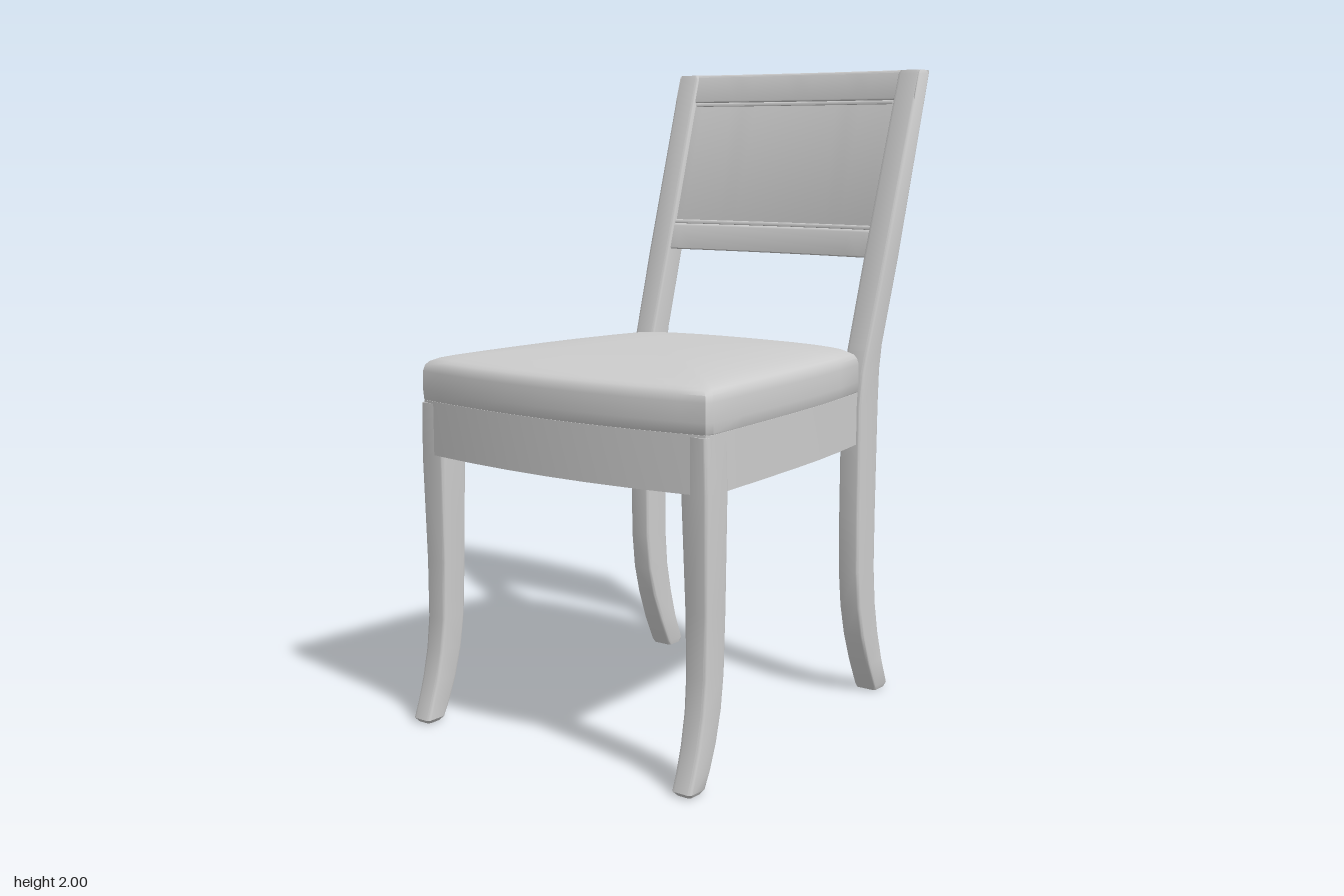
import * as THREE from 'three';
import { mergeVertices, toCreasedNormals } from 'three/addons/utils/BufferGeometryUtils.js';

const paintedWood = new THREE.MeshStandardMaterial({ color: 0xcccccc });
paintedWood.name = 'light grey';

// Closed solid through a list of equal-length rings of [x, y, z], capped with fans
function loft(rings, crease = 0.6) {
  const n = rings[0].length, pos = rings.flat(2), idx = [];
  for (let r = 0; r < rings.length - 1; r++) {
    for (let i = 0; i < n; i++) {
      const a = r * n + i, b = r * n + (i + 1) % n;
      idx.push(a, b, a + n, b, b + n, a + n);
    }
  }
  [0, rings.length - 1].forEach((r, end) => {
    const c = pos.length / 3;
    for (let k = 0; k < 3; k++) pos.push(rings[r].reduce((s, p) => s + p[k], 0) / n);
    for (let i = 0; i < n; i++) {
      const a = r * n + i, b = r * n + (i + 1) % n;
      if (end) idx.push(a, b, c); else idx.push(b, a, c);
    }
  });
  // Turn the faces outward if the enclosed volume is negative
  const v = i => new THREE.Vector3().fromArray(pos, i * 3);
  let volume = 0;
  for (let i = 0; i < idx.length; i += 3) volume += v(idx[i]).dot(v(idx[i + 1]).cross(v(idx[i + 2])));
  if (volume < 0) idx.reverse();
  const g = new THREE.BufferGeometry();
  g.setAttribute('position', new THREE.Float32BufferAttribute(pos, 3));
  g.setIndex(idx);
  return toCreasedNormals(mergeVertices(g), crease);
}

function part(group, name, geometry) {
  const m = new THREE.Mesh(geometry, paintedWood);
  m.name = name;
  group.add(m);
}

// Rectangle with rounded corners as [u, v] points
function roundRect(u0, u1, v0, v1, r) {
  const corners = [[u1 - r, v1 - r], [u0 + r, v1 - r], [u0 + r, v0 + r], [u1 - r, v0 + r]];
  return corners.flatMap(([u, v], q) => [0, 1, 2, 3].map(k => {
    const a = (q + k / 3) * Math.PI / 2;
    return [u + r * Math.cos(a), v + r * Math.sin(a)];
  }));
}

// Leg from rows of [y, front z, back z, inner x, outer x]
function leg(rows, side) {
  return loft(rows.map(([y, f, b, xi, xo]) =>
    roundRect(xi, xo, b, f, 0.01).map(([x, z]) => [x * side, y, z])));
}

// Seat plan: bowed front, flared sides, curved back
function seatPlan() {
  const half = [[0.1, -0.403], [0.2, -0.396], [0.3, -0.379], [0.385, -0.353], [0.445, -0.3], [0.472, -0.15],
    [0.493, 0], [0.508, 0.15], [0.52, 0.3], [0.531, 0.45], [0.54, 0.6], [0.53, 0.622]];
  for (let x = 0.45; x > 0.01; x -= 0.15) half.push([x, 0.622 + 0.05 * (1 - (x / 0.53) ** 2)]);
  const mirrored = half.map(([x, z]) => [-x, z]).reverse();
  return [[0, -0.405], ...half, [0, 0.672], ...mirrored];
}

const CZ = 0.13;
const scalePlan = (plan, s) => plan.map(([x, z]) => [x * s, CZ + (z - CZ) * s]);

// Bowed, leaning back piece; front and back are depths behind the front face
const frontZ = y => -0.411 - (y - 1.4) * 0.312;
function bowed(y0, y1, halfWidth, front, back, radius = 0.008) {
  const rings = [], steps = 16;
  for (let i = 0; i <= steps; i++) {
    const x = halfWidth * (2 * i / steps - 1);
    const bow = 0.032 * (1 - (x / 0.48) ** 2);
    rings.push(roundRect(y0, y1, front, back, radius).map(([y, d]) => [x, y, frontZ(y) - bow - d]));
  }
  return loft(rings);
}

export function createModel() {
  const chair = new THREE.Group();
  chair.name = 'chair';

  // Legs, with the back ones running up into the backrest posts
  const frontRows = [
    [0, 0.685, 0.633, 0.477, 0.526], [0.012, 0.695, 0.622, 0.468, 0.534],
    [0.06, 0.677, 0.597, 0.468, 0.534], [0.13, 0.655, 0.57, 0.467, 0.534],
    [0.22, 0.635, 0.547, 0.465, 0.534], [0.32, 0.624, 0.534, 0.462, 0.534],
    [0.5, 0.622, 0.529, 0.458, 0.536], [0.83, 0.63, 0.527, 0.45, 0.54], [0.99, 0.63, 0.527, 0.45, 0.536],
  ];
  const backRows = [
    [0, -0.415, -0.478, 0.385, 0.457], [0.015, -0.407, -0.485, 0.383, 0.462],
    [0.1, -0.368, -0.452, 0.383, 0.462], [0.2, -0.33, -0.426, 0.384, 0.46],
    [0.3, -0.305, -0.407, 0.385, 0.46], [0.42, -0.292, -0.397, 0.385, 0.46],
    [0.6, -0.29, -0.398, 0.385, 0.46], [0.95, -0.293, -0.405, 0.385, 0.46],
    [1.06, -0.305, -0.407, 0.386, 0.462], [1.14, -0.33, -0.418, 0.386, 0.464],
    [1.4, -0.411, -0.495, 0.388, 0.471], [1.988, -0.595, -0.66, 0.398, 0.479], [2, -0.6, -0.655, 0.403, 0.474],
  ];
  for (const [side, label] of [[1, 'left'], [-1, 'right']]) {
    part(chair, label + 'FrontLeg', leg(frontRows, side));
    part(chair, label + 'BackLegAndPost', leg(backRows, side));
  }

  // Apron: a thin wall around the seat, open underneath
  const plan = seatPlan();
  const toV2 = pts => pts.map(([x, z]) => new THREE.Vector2(x, -z));
  const shape = new THREE.Shape(toV2(plan));
  shape.holes.push(new THREE.Path(toV2(scalePlan(plan, 0.94)).reverse()));
  const apron = new THREE.ExtrudeGeometry(shape, { depth: 0.165, bevelEnabled: false });
  apron.rotateX(-Math.PI / 2).translate(0, 0.832, 0);
  part(chair, 'apron', toCreasedNormals(apron, 0.5));

  // Cushion: soft edge rising into a shallow dome
  const cushion = [[0.985, 0.983], [1.0, 1.0], [1.03, 1.004], [1.085, 1.003], [1.105, 0.994],
    [1.118, 0.975], [1.126, 0.945]];
  for (const s of [0.88, 0.78, 0.6, 0.4, 0.2]) cushion.push([1.155 - 0.034 * s ** 4, s]);
  part(chair, 'seatCushion', loft(cushion.map(([y, s]) => {
    const dome = Math.max(0, y - 1.1) / 0.055;
    return scalePlan(plan, s).map(([x, z]) => [x, y - 0.02 * dome * z * z, z]);
  }), 0.7));

  // Backrest: bowed rails around a recessed panel
  part(chair, 'topRail', bowed(1.905, 2, 0.474, 0, 0.066));
  part(chair, 'bottomRail', bowed(1.408, 1.495, 0.41, 0, 0.045));
  part(chair, 'backPanel', bowed(1.47, 1.93, 0.42, 0.008, 0.034));
  for (const y of [1.495, 1.892]) part(chair, 'panelBead', bowed(y, y + 0.013, 0.39, 0.002, 0.03, 0.004));
  return chair;
}
